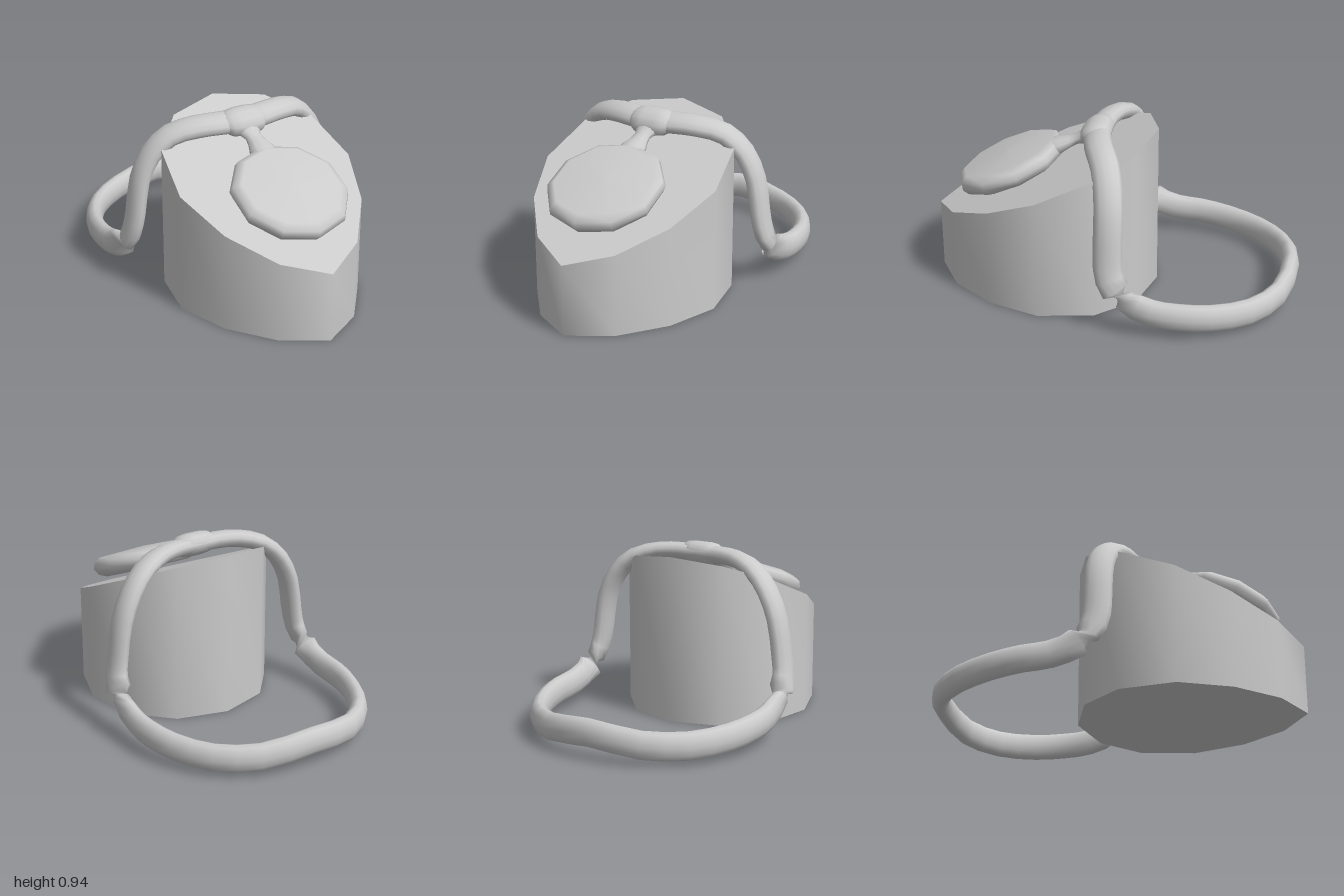
import * as THREE from 'three';
import { toCreasedNormals } from 'three/addons/utils/BufferGeometryUtils.js';

const material = new THREE.MeshStandardMaterial({ color: 0xcccccc });

function part(name, geometry, parent) {
  const mesh = new THREE.Mesh(geometry, material);
  mesh.name = name;
  parent.add(mesh);
  return mesh;
}

const lathe = (points, sides) =>
  new THREE.LatheGeometry(points.map(([r, y]) => new THREE.Vector2(r, y)), sides);

// Upright block with a leaf-shaped footprint and a sloping top
function standGeometry() {
  const half = [[0.28, -0.14], [0.46, 0.06], [0.51, 0.36], [0.41, 0.64], [0.23, 0.87]];
  const outline = [[0, -0.22], ...half, [0, 1], ...half.map(([x, z]) => [-x, z]).reverse()];
  const shape = new THREE.Shape(outline.map(([x, z]) => new THREE.Vector2(x, -z)));
  const geometry = new THREE.ExtrudeGeometry(shape, { depth: 1, bevelEnabled: false });
  geometry.rotateX(-Math.PI / 2);
  const p = geometry.attributes.position;
  for (let i = 0; i < p.count; i++) {
    if (p.getY(i) > 0.5) p.setY(i, 0.385 + (1 - p.getZ(i)) * 0.426);
  }
  return toCreasedNormals(geometry, 1.13);
}

// Closed band with an oval section, hanging over the stand and lying flat behind it
function bandGeometry() {
  // x, y, z of the centre line and tilt of the section's long axis from up to front
  const half = [
    [0, 0.872, 0.1, 110], [0.13, 0.877, 0.09, 108], [0.25, 0.872, 0.06, 104],
    [0.38, 0.835, 0.01, 97], [0.48, 0.74, -0.02, 92], [0.545, 0.6, -0.03, 90],
    [0.575, 0.42, -0.03, 85], [0.595, 0.3, -0.045, 68], [0.612, 0.2, -0.12, 42],
    [0.62, 0.14, -0.26, 12], [0.62, 0.125, -0.4, 3], [0.58, 0.11, -0.57, 2],
    [0.47, 0.1, -0.76, 0], [0.28, 0.108, -0.9, 0], [0, 0.14, -0.955, 0],
  ];
  const keys = [...half, ...half.slice(1, -1).reverse().map(([x, y, z, a]) => [-x, y, z, a])];
  const curve = new THREE.CatmullRomCurve3(keys.map(([x, y, z]) => new THREE.Vector3(x, y, z)), true);
  const rings = keys.length * 2, sides = 12;
  const positions = [], index = [];
  for (let i = 0; i < rings; i++) {
    const k = Math.floor(i / 2);
    const next = keys[(k + 1) % keys.length];
    const angle = THREE.MathUtils.degToRad(i % 2 ? (keys[k][3] + next[3]) / 2 : keys[k][3]);
    const centre = curve.getPoint(i / rings);
    const tangent = curve.getTangent(i / rings);
    const axis = new THREE.Vector3(0, Math.cos(angle), Math.sin(angle));
    axis.addScaledVector(tangent, -axis.dot(tangent)).normalize();
    const outward = axis.clone().cross(tangent);
    for (let j = 0; j < sides; j++) {
      const t = (j / sides) * Math.PI * 2;
      const v = centre.clone()
        .addScaledVector(outward, 0.048 * Math.cos(t))
        .addScaledVector(axis, 0.076 * Math.sin(t));
      positions.push(v.x, v.y, v.z);
      const i2 = (i + 1) % rings, j2 = (j + 1) % sides;
      const a = i * sides + j, b = i * sides + j2, c = i2 * sides + j, d = i2 * sides + j2;
      index.push(a, b, c, b, d, c);
    }
  }
  const geometry = new THREE.BufferGeometry();
  geometry.setAttribute('position', new THREE.Float32BufferAttribute(positions, 3));
  geometry.setIndex(index);
  geometry.computeVertexNormals();
  return geometry;
}

export function createModel() {
  const model = new THREE.Group();
  model.name = 'necklaceOnStand';
  part('displayStand', standGeometry(), model);
  part('necklaceBand', bandGeometry(), model);

  // Pendant with its loop, tilted to lie on the slope
  const pendant = new THREE.Group();
  pendant.name = 'pendant';
  pendant.position.set(0, 0.657, 0.585);
  pendant.rotation.x = 0.4;
  model.add(pendant);

  part('pendantDisc', lathe([
    [0, -0.065], [0.25, -0.06], [0.295, -0.04], [0.315, -0.005],
    [0.305, 0.03], [0.265, 0.055], [0, 0.065],
  ], 10), pendant);

  // Waisted link between disc and sleeve
  const neck = lathe([[0.075, -0.1], [0.07, -0.06], [0.052, -0.01], [0.045, 0.03], [0.06, 0.07], [0.08, 0.1]], 10);
  neck.rotateX(-Math.PI / 2).scale(1, 0.6, 1);
  part('pendantNeck', neck, pendant).position.set(0, 0.008, -0.37);

  // Sleeve wrapped round the band
  const sleeve = lathe([[0.04, -0.11], [0.058, -0.085], [0.064, -0.04], [0.064, 0.04], [0.058, 0.085], [0.04, 0.11]], 12);
  sleeve.rotateZ(Math.PI / 2).scale(1, 1, 1.4);
  part('pendantSleeve', sleeve, pendant).position.set(0, 0.016, -0.52);

  return model;
}
